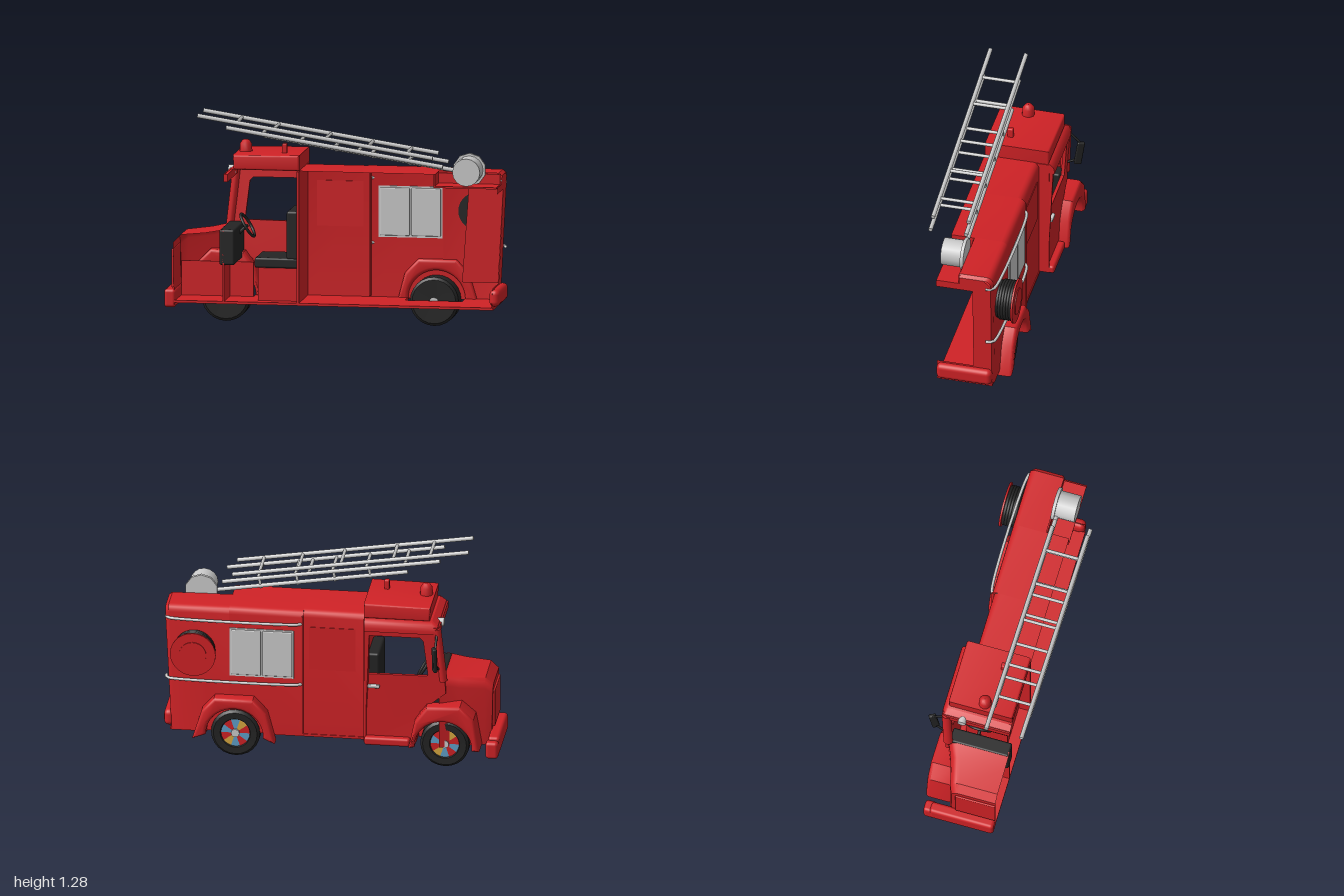
import * as THREE from 'three';
import { toCreasedNormals } from 'three/addons/utils/BufferGeometryUtils.js';
import { RoundedBoxGeometry } from 'three/addons/geometries/RoundedBoxGeometry.js';

const paint = (color) => new THREE.MeshStandardMaterial({ color, side: THREE.DoubleSide });
const RED = paint(0xd02226), BLACK = paint(0x242424), GREY = paint(0xcccccc);
const BLUE = paint(0x5f9fc8), YELLOW = paint(0xd8a840);
const CUT = 0.19; // open lengthwise section plane

export function createModel() {
  const root = new THREE.Group();
  const add = (name, geo, mat = RED) => {
    const m = new THREE.Mesh(geo, mat);
    m.name = name;
    root.add(m);
    return m;
  };
  // Box given by its bounds, optionally rounded
  const box = (name, mat, x0, x1, y0, y1, z0, z1, r = 0) => {
    const s = [x1 - x0, y1 - y0, z1 - z0];
    const g = r ? new RoundedBoxGeometry(...s, 3, r) : new THREE.BoxGeometry(...s);
    g.translate((x0 + x1) / 2, (y0 + y1) / 2, (z0 + z1) / 2);
    return add(name, g, mat);
  };
  // Round bar between two points
  const rod = (name, mat, a, b, r, sides = 8) => {
    const p = new THREE.Vector3(...a), q = new THREE.Vector3(...b);
    const m = add(name, new THREE.CylinderGeometry(r, r, p.distanceTo(q), sides), mat);
    m.position.copy(p).lerp(q, 0.5);
    m.quaternion.setFromUnitVectors(new THREE.Vector3(0, 1, 0), q.sub(p).normalize());
    return m;
  };
  const shape = (pts) => new THREE.Shape(pts.map((p) => new THREE.Vector2(...p)));
  const plate = (name, s, z0, z1, bevel = 0) => {
    const g = new THREE.ExtrudeGeometry(s, {
      depth: z1 - z0 - 2 * bevel, curveSegments: 20, bevelEnabled: bevel > 0,
      bevelSize: bevel, bevelThickness: bevel, bevelOffset: -bevel, bevelSegments: 3,
    });
    g.translate(0, 0, z0 + bevel);
    return add(name, toCreasedNormals(g, 0.6));
  };
  // Skin through rows of equal length
  const loft = (name, rows, mat = RED) => {
    const n = rows[0].length, idx = [];
    for (let i = 0; i < rows.length - 1; i++) for (let j = 0; j < n - 1; j++) {
      const a = i * n + j, b = a + n;
      idx.push(a, b, a + 1, b, b + 1, a + 1);
    }
    const g = new THREE.BufferGeometry();
    g.setAttribute('position', new THREE.Float32BufferAttribute(rows.flat(2), 3));
    g.setIndex(idx);
    return add(name, toCreasedNormals(g, 0.6), mat);
  };
  // Half section of a shell: roof, rounded shoulder, side
  const section = (x, top, side, bottom, r = 0.04, zc = CUT, lean = 0, flare = 0) => {
    const pts = [[top, zc]];
    for (let k = 0; k <= 4; k++) {
      const a = (k / 4) * Math.PI / 2;
      pts.push([top - r + r * Math.cos(a), side + r - r * Math.sin(a)]);
    }
    pts.push([bottom, side + flare]);
    return pts.map(([y, z]) => [x + lean * (y - top), y, z]);
  };
  const flatten = (row) => row.map(([x, y]) => [x, y, CUT]);

  // Rear body shell, with a pocket in the roof for the ladder mount
  loft('middleBody', [section(-0.2, 0.94, -0.14, 0.15), section(0.17, 0.94, -0.14, 0.15)]);
  loft('rearBodyFront', [section(0.17, 0.94, -0.152, 0.15), section(0.61, 0.94, -0.152, 0.15)]);
  loft('rearBodyBack', [section(0.61, 0.94, -0.152, 0.15, 0.04, 0.05),
    section(0.97, 0.935, -0.152, 0.15, 0.04, 0.05, 0.05), section(0.99, 0.92, -0.14, 0.15, 0.04, 0.05, 0.05)]);
  box('pocketFloor', RED, 0.61, 0.98, 0.86, 0.87, 0.05, CUT);
  box('pocketSide', RED, 0.61, 0.98, 0.86, 0.93, 0.045, 0.055);
  box('pocketFront', RED, 0.605, 0.615, 0.86, 0.94, 0.05, CUT);

  // Rear face with an open locker, leaning slightly
  const rear = shape([[-CUT, 0.15], [0.14, 0.15], [0.14, 0.88], [0.1, 0.92], [-0.05, 0.92], [-0.05, 0.87],
    [-CUT, 0.87], [-CUT, 0.83], [0.03, 0.83], [0.03, 0.27], [-CUT, 0.27]]);
  const rearGeo = new THREE.ShapeGeometry(rear).rotateY(Math.PI / 2);
  const rp = rearGeo.attributes.position;
  for (let i = 0; i < rp.count; i++) rp.setX(i, 0.99 + 0.05 * (rp.getY(i) - 0.92));
  add('rearFace', rearGeo);
  plate('lockerSide', shape([[0.74, 0.27], [0.955, 0.27], [0.985, 0.83], [0.78, 0.83]]), -0.035, -0.03);

  // Floor, bulkhead and bumpers
  box('floor', RED, -0.94, 0.96, 0.14, 0.155, -0.03, CUT);
  for (const [a, b] of [[-0.5, 0.4], [0.74, 0.96]]) box('floorEdge', RED, a, b, 0.14, 0.155, -0.145, -0.03);
  box('bulkhead', RED, -0.21, -0.195, 0.15, 0.935, -0.2, CUT);
  box('frontBumper', RED, -1, -0.93, 0.11, 0.22, -0.2, CUT, 0.02);
  box('frontBumperEnd', RED, -0.995, -0.92, 0.095, 0.2, -0.24, -0.17, 0.02);
  box('rearBumper', RED, 0.935, 0.998, 0.16, 0.26, -0.145, CUT, 0.03);

  // Bonnet, tapering toward the grille
  const nose = section(-0.945, 0.5, -0.08, 0.13, 0.05, CUT, -0.02);
  loft('bonnet', [flatten(nose), nose, section(-0.9, 0.545, -0.1, 0.13, 0.06),
    section(-0.75, 0.56, -0.14, 0.13, 0.06), section(-0.64, 0.58, -0.185, 0.13, 0.05)]);
  box('grillePanel', RED, -0.955, -0.94, 0.23, 0.46, -0.055, CUT, 0.006);
  box('firewall', RED, -0.65, -0.64, 0.15, 0.57, -0.18, CUT);
  box('innerWing', RED, -0.93, -0.5, 0.13, 0.36, -0.035, -0.025);

  // Cab side with window opening, flared toward the roof
  const flareZ = (y) => -0.19 - 0.035 * THREE.MathUtils.clamp((y - 0.5) / 0.4, 0, 1);
  const cab = shape([[-0.2, 0.15], [-0.46, 0.15], [-0.53, 0.36], [-0.68, 0.48], [-0.675, 0.58], [-0.63, 0.91], [-0.2, 0.91]]);
  cab.holes.push(new THREE.Path([[-0.575, 0.6], [-0.57, 0.59], [-0.225, 0.585], [-0.23, 0.84], [-0.53, 0.84],
    [-0.55, 0.82]].map((p) => new THREE.Vector2(...p))));
  const cabSide = plate('cabSide', cab, 0, 0.02);
  const cp = cabSide.geometry.attributes.position;
  for (let i = 0; i < cp.count; i++) cp.setZ(i, cp.getZ(i) + flareZ(cp.getY(i)));
  cabSide.geometry = toCreasedNormals(cabSide.geometry, 0.6);
  loft('cabRoof', [section(-0.645, 0.88, -0.205, 0.86, 0.01), section(-0.635, 0.915, -0.225, 0.87, 0.03),
    section(-0.6, 0.94, -0.232, 0.87, 0.05), section(-0.2, 0.94, -0.232, 0.87, 0.05),
    flatten(section(-0.195, 0.94, -0.232, 0.87, 0.05))]);
  const pillar = rod('windscreenPillar', RED, [-0.665, 0.56, -0.18], [-0.63, 0.9, -0.2], 0.024, 12);
  pillar.scale.z = 1.2;
  box('windscreenHeader', RED, -0.645, -0.62, 0.865, 0.91, -0.2, CUT);
  box('step', RED, -0.47, -0.2, 0.14, 0.19, -0.23, -0.13, 0.015);
  box('doorHandle', GREY, -0.29, -0.22, 0.5, 0.52, -0.215, -0.19, 0.006);
  for (const x of [-0.205, 0.17]) box('bodySeam', RED, x, x + 0.01, 0.16, 0.91, -0.157, -0.13);

  // Roof lamp box and beacons
  const lamp = shape([[-0.585, 0.94], [-0.195, 0.94], [-0.195, 1.03], [-0.59, 1.025]]);
  plate('roofLampBox', lamp, -0.2, CUT, 0.012);
  const beacon = add('beacon', new THREE.LatheGeometry([[0.038, 0], [0.036, 0.045], [0.02, 0.068], [0, 0.07]]
    .map((p) => new THREE.Vector2(...p)), 12));
  beacon.position.set(-0.54, 1.025, 0.01);
  box('roofHorn', RED, -0.315, -0.285, 1.02, 1.085, 0.04, 0.075, 0.008);
  rod('spotLamp', GREY, [-0.66, 0.9, -0.1], [-0.62, 0.9, -0.1], 0.025, 14);

  // Cab interior
  box('seatCushion', BLACK, -0.47, -0.21, 0.35, 0.41, -0.14, 0.13, 0.012);
  box('seatBack', BLACK, -0.28, -0.21, 0.4, 0.69, -0.14, 0.13, 0.015);
  box('seatBase', RED, -0.45, -0.21, 0.155, 0.35, -0.13, 0.12);
  box('dashboard', BLACK, -0.67, -0.58, 0.37, 0.58, -0.17, CUT, 0.012);
  const steering = add('steeringWheel', new THREE.TorusGeometry(0.075, 0.009, 8, 24), BLACK);
  steering.position.set(-0.535, 0.58, -0.02);
  steering.rotation.set(-0.0, Math.PI / 2, 0);
  steering.rotateX(-0.55);
  rod('steeringColumn', BLACK, [-0.6, 0.52, -0.02], [-0.535, 0.58, -0.02], 0.01);

  // Door mirror
  rod('mirrorArm', BLACK, [-0.63, 0.86, -0.22], [-0.63, 0.8, -0.285], 0.007);
  rod('mirrorStay', BLACK, [-0.64, 0.64, -0.2], [-0.63, 0.68, -0.265], 0.007);
  const mirror = box('mirror', BLACK, -0.012, 0.012, -0.08, 0.08, -0.022, 0.022, 0.008);
  mirror.position.set(-0.625, 0.73, -0.277);
  mirror.rotation.set(-0.15, 0.4, 0);

  // Side shutters, panel and grab rails
  for (const x of [0.235, 0.42]) box('shutter', GREY, x, x + 0.175, 0.52, 0.805, -0.163, -0.14, 0.006);
  box('shutterFrame', GREY, 0.225, 0.605, 0.51, 0.815, -0.158, -0.145);
  box('sidePanel', RED, -0.14, 0.135, 0.57, 0.84, -0.144, -0.134);
  for (const y of [0.86, 0.475]) {
    const rail = [[0.18, -0.15], [0.2, -0.164], [0.93, -0.164], [0.975, -0.15], [0.985, -0.11]];
    const curve = new THREE.CatmullRomCurve3(rail.map(([x, z]) => new THREE.Vector3(x, y, z)), false, 'centripetal');
    add('grabRail', new THREE.TubeGeometry(curve, 30, 0.009, 8), GREY);
  }

  // Wings over the wheels
  const wing = (name, pts, cx, z0, z1) => {
    const s = shape(pts);
    s.lineTo(cx - 0.17, 0.14);
    s.absarc(cx, 0.15, 0.17, Math.PI, 0, true);
    plate(name, s, z0, z1, 0.02);
  };
  wing('rearWing', [[0.82, 0.12], [0.765, 0.3], [0.69, 0.385], [0.46, 0.385], [0.38, 0.3], [0.33, 0.11]], 0.57, -0.228, -0.13);
  wing('frontWing', [[-0.465, 0.14], [-0.5, 0.31], [-0.57, 0.41], [-0.77, 0.42], [-0.85, 0.34], [-0.885, 0.14]], -0.67, -0.256, -0.09);

  // Wheels with segmented hub discs
  const tyre = [[0.02, -0.06], [0.13, -0.062], [0.145, -0.05], [0.145, 0.05], [0.13, 0.065], [0.09, 0.062], [0.085, 0.05], [0, 0.05]];
  for (const [name, x] of [['frontWheel', -0.67], ['rearWheel', 0.57]]) {
    const wheel = new THREE.Group();
    wheel.name = name;
    const t = new THREE.LatheGeometry(tyre.map((p) => new THREE.Vector2(...p)), 24).rotateX(-Math.PI / 2);
    wheel.add(new THREE.Mesh(toCreasedNormals(t, 0.6), BLACK));
    for (let k = 0; k < 10; k++) {
      const g = new THREE.RingGeometry(0.025, 0.085, 4, 1, k * Math.PI / 5, Math.PI / 5).translate(0, 0, -0.054);
      wheel.add(new THREE.Mesh(g, [BLUE, RED, BLUE, YELLOW, RED][k % 5]));
    }
    const cap = new THREE.CylinderGeometry(0.025, 0.025, 0.13, 12).rotateX(Math.PI / 2);
    wheel.add(new THREE.Mesh(cap, GREY));
    wheel.position.set(x, 0.147, -0.107);
    root.add(wheel);
  }

  // Hose reel
  for (let k = 0; k < 5; k++) {
    const coil = add('hoseCoil', new THREE.TorusGeometry(0.112, 0.011, 8, 28), BLACK);
    coil.position.set(0.81, 0.675, -0.175 - k * 0.016);
  }
  rod('reelCore', BLACK, [0.81, 0.675, -0.15], [0.81, 0.675, -0.25], 0.112, 28);
  rod('reelDisc', RED, [0.81, 0.675, -0.248], [0.81, 0.675, -0.26], 0.135, 28);
  rod('reelHub', RED, [0.81, 0.675, -0.25], [0.81, 0.675, -0.266], 0.08, 24);

  // Ladder mount drum
  rod('ladderDrum', GREY, [0.8, 0.955, 0.06], [0.8, 0.955, CUT], 0.082, 16);
  rod('ladderDrumFlange', GREY, [0.8, 0.955, 0.05], [0.8, 0.955, 0.07], 0.098, 10);

  // Extending ladder: two full sections and one lower rail
  const slope = (0.78 + 0.62) / -0.22;
  const ladder = (x0, y0, x1, rails, rungs) => {
    const at = (x, z) => [x, y0 + (x - x0) / slope, z];
    for (const z of rails) rod('ladderRail', GREY, at(x0, z), at(x1, z), 0.013);
    for (const x of rungs) rod('ladderRung', GREY, at(x, rails[0]), at(x, rails[1]), 0.01);
    return at;
  };
  ladder(-0.78, 1.272, 0.62, [0.085, 0.3], [-0.55, -0.33, -0.02, 0.23, 0.46]);
  ladder(-0.61, 1.205, 0.68, [0.085, 0.3], [-0.4, -0.17, 0.03, 0.17, 0.25, 0.47]);
  const low = ladder(-0.42, 1.13, 0.74, [0.08], []);
  for (const x of [-0.2, 0.01, 0.23, 0.45]) {
    const [, y, z] = low(x, 0.08);
    rod('ladderStrut', GREY, [x, y - 0.015, z], [x + 0.01, y + 0.04, z], 0.009);
  }
  return root;
}
